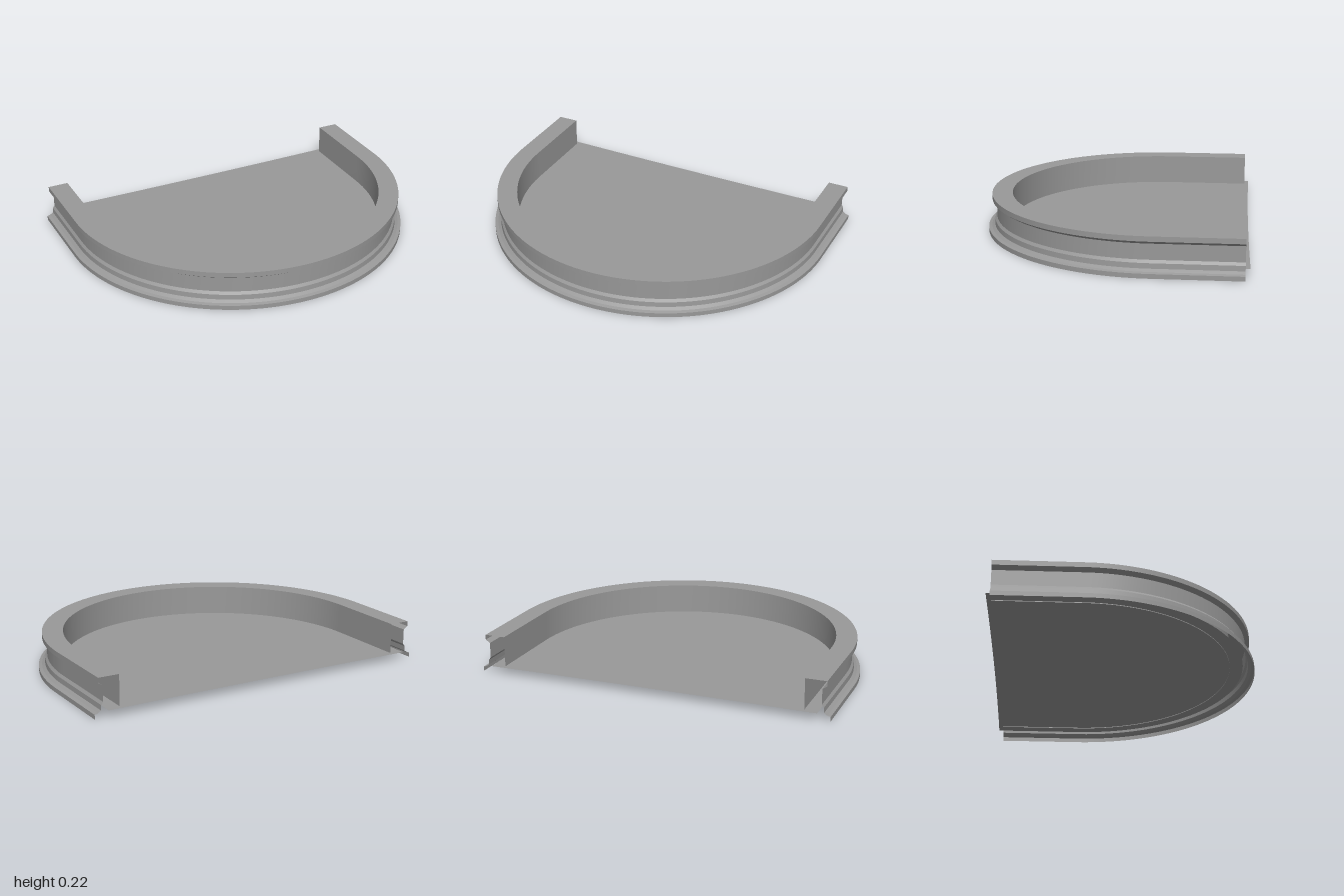
import * as THREE from 'three';

const CENTRE_Z = -0.25; // centre of the rounded front
const BACK_Z = -0.725;  // open ends of the rim
const FLOOR_Y = 0.045;

// U-shaped path: straight arm, half circle, straight arm. Each stop has a z shift and an angle.
function pathStops(segments = 96) {
  const stops = [{ angle: 0, z: BACK_Z }];
  for (let i = 0; i <= segments; i++) stops.push({ angle: (Math.PI * i) / segments, z: CENTRE_Z });
  stops.push({ angle: Math.PI, z: BACK_Z });
  return stops;
}

// Sweeps one straight profile edge [r, y] -> [r, y] along the path (smooth along, crisp across)
function sweepEdge(from, to, material) {
  const stops = pathStops();
  const positions = [], index = [];
  stops.forEach(({ angle, z }, i) => {
    for (const [r, y] of [from, to]) {
      positions.push(r * Math.cos(angle), y, z + r * Math.sin(angle));
    }
    if (i < stops.length - 1) {
      const a = i * 2;
      index.push(a, a + 1, a + 2, a + 2, a + 1, a + 3);
    }
  });
  const geometry = new THREE.BufferGeometry();
  geometry.setAttribute('position', new THREE.Float32BufferAttribute(positions, 3));
  geometry.setIndex(index);
  geometry.computeVertexNormals();
  return new THREE.Mesh(geometry, material);
}

function sweepProfile(name, profile, material) {
  const group = new THREE.Group();
  group.name = name;
  for (let i = 0; i < profile.length - 1; i++) {
    const band = sweepEdge(profile[i], profile[i + 1], material);
    band.name = `${name}Band${i + 1}`;
    group.add(band);
  }
  return group;
}

export function createModel() {
  const model = new THREE.Group();
  model.name = 'roundedTray';
  const material = new THREE.MeshStandardMaterial({ color: 0x999999, side: THREE.DoubleSide });

  // Moulded outer face, from the flared foot up to the top lip
  model.add(sweepProfile('outerMoulding', [
    [1.0, 0], [1.0, 0.025], [0.982, 0.03], [0.965, 0.042], [0.963, 0.07],
    [0.952, 0.085], [0.952, 0.17], [0.977, 0.187], [0.977, 0.215],
  ], material));

  // Flat top, and inner wall reaching just through the floor
  model.add(sweepProfile('topRim', [[0.977, 0.215], [0.861, 0.215]], material));
  model.add(sweepProfile('innerWall', [[0.861, 0.215], [0.861, FLOOR_Y - 0.004]], material));

  // Thin floor running under the rim, with a slightly hollow back edge
  const r = 0.935;
  const shape = new THREE.Shape();
  shape.moveTo(-r, 0.75);
  shape.lineTo(-r, -CENTRE_Z);
  shape.absarc(0, -CENTRE_Z, r, Math.PI, Math.PI * 2, false);
  shape.lineTo(r, 0.75);
  shape.quadraticCurveTo(0, 0.734, -r, 0.75);
  const floor = new THREE.Mesh(new THREE.ShapeGeometry(shape, 96), material);
  floor.name = 'floor';
  floor.rotation.x = -Math.PI / 2;
  floor.position.y = FLOOR_Y;
  model.add(floor);

  return model;
}
